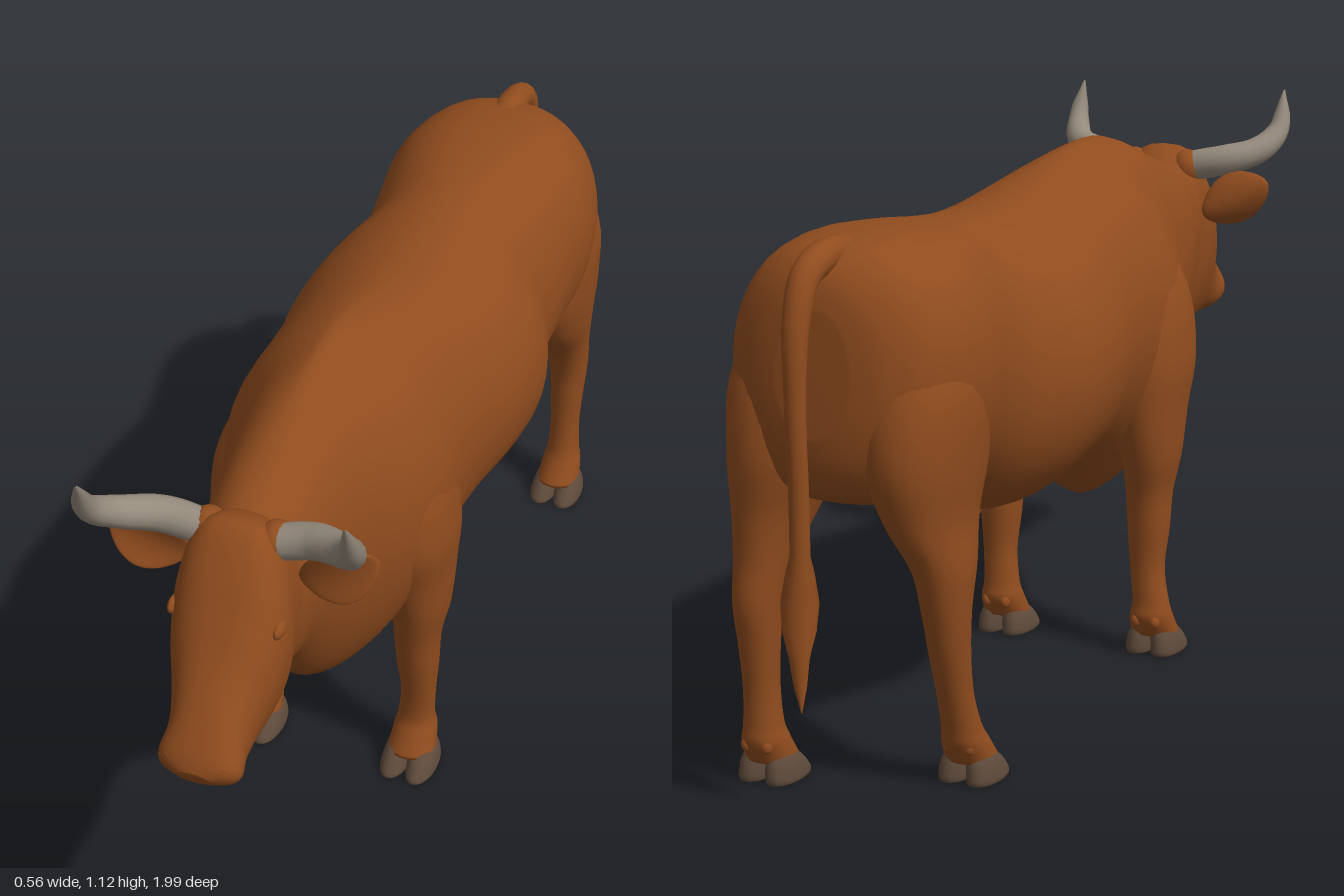
import * as THREE from 'three';

const mat = (name, color) => {
  const m = new THREE.MeshStandardMaterial({ color });
  m.name = name;
  return m;
};

// Smooth interpolation of table rows, sub steps between each pair
function refine(rows, sub) {
  const out = [];
  const at = i => rows[Math.max(0, Math.min(rows.length - 1, i))];
  for (let i = 0; i < rows.length - 1; i++) {
    for (let s = 0; s < sub; s++) {
      const t = s / sub;
      out.push(at(i).map((b, k) => {
        const a = at(i - 1)[k], c = at(i + 1)[k], d = at(i + 2)[k];
        return b + 0.5 * t * (c - a + t * (2 * a - 5 * b + 4 * c - d + t * (3 * (b - c) + d - a)));
      }));
    }
  }
  out.push(rows[rows.length - 1]);
  return out;
}

// Closed skin through rings; ringPoint(row, sin, cos) gives one point
function loft(rows, ringPoint, n = 36, sub = 5) {
  const fine = refine(rows, sub), pos = [], idx = [];
  for (const row of fine) {
    for (let j = 0; j < n; j++) {
      const t = (j / n) * Math.PI * 2;
      pos.push(...ringPoint(row, Math.sin(t), Math.cos(t)));
    }
  }
  const last = fine.length - 1;
  for (const i of [0, last]) {
    const c = [0, 0, 0];
    for (let j = 0; j < n; j++) for (let k = 0; k < 3; k++) c[k] += pos[(i * n + j) * 3 + k] / n;
    pos.push(...c);
  }
  const c0 = fine.length * n;
  for (let j = 0; j < n; j++) {
    const k = (j + 1) % n;
    for (let i = 0; i < last; i++) {
      const a = i * n + j, b = i * n + k;
      idx.push(a, a + n, b, b, a + n, b + n);
    }
    idx.push(c0, j, k, c0 + 1, last * n + k, last * n + j);
  }
  const g = new THREE.BufferGeometry();
  g.setAttribute('position', new THREE.Float32BufferAttribute(pos, 3));
  g.setIndex(idx);
  g.computeVertexNormals();
  return g;
}

const soft = (v, p) => Math.sign(v) * Math.abs(v) ** p;

// Row: topZ, topY, bottomZ, bottomY, centreX, halfWidth, narrowing to the belly, pointedness
const trunkRing = ([tz, ty, bz, by, cx, hw, bias, power], s, c) => [
  cx + hw * soft(s, power) * (1 + bias * c),
  (ty + by) / 2 + ((ty - by) / 2) * c,
  (tz + bz) / 2 + ((tz - bz) / 2) * c,
];

// Row: y, centreX, halfWidth, backZ, frontZ
const limbRing = ([y, x, hw, zb, zf], s, c) => [
  x + hw * soft(s, 0.95), y, (zb + zf) / 2 + ((zf - zb) / 2) * soft(c, 0.95),
];

// Tube whose radius follows a list
function taperTube(points, radii, seg = 40, sides = 14) {
  const curve = new THREE.CatmullRomCurve3(points.map(p => new THREE.Vector3(...p)));
  const g = new THREE.TubeGeometry(curve, seg, 1, sides);
  const p = g.attributes.position, v = new THREE.Vector3();
  for (let i = 0; i <= seg; i++) {
    const c = curve.getPointAt(i / seg);
    const f = (i / seg) * (radii.length - 1), k = Math.min(Math.floor(f), radii.length - 2);
    const r = THREE.MathUtils.lerp(radii[k], radii[k + 1], f - k);
    for (let j = 0; j <= sides; j++) {
      const n = i * (sides + 1) + j;
      v.fromBufferAttribute(p, n).sub(c).multiplyScalar(r).add(c);
      p.setXYZ(n, v.x, v.y, v.z);
    }
  }
  return g;
}

export function createModel() {
  const model = new THREE.Group();
  model.name = 'bull';
  const hide = mat('brown hide', 0x904c1e);
  const horn = mat('grey horn', 0x958a7c);
  const hoofMat = mat('dark hoof', 0x5e4a3b);

  const add = (name, geo, material, parent = model) => {
    const m = new THREE.Mesh(geo, material);
    m.name = name;
    parent.add(m);
    return m;
  };
  const blob = (name, [x, y, z], [sx, sy, sz], parent = model) => {
    const m = add(name, new THREE.SphereGeometry(1, 20, 14), hide, parent);
    m.position.set(x, y, z);
    m.scale.set(sx, sy, sz);
  };

  // Trunk and neck
  add('body', loft([
    [-0.90, 0.90, -0.912, 0.68, 0, 0.07, 0, 1],
    [-0.88, 0.96, -0.895, 0.60, 0, 0.14, 0, 0.9],
    [-0.82, 1.005, -0.84, 0.55, 0, 0.203, 0.03, 0.78],
    [-0.70, 1.02, -0.70, 0.52, 0, 0.235, 0.03, 0.74],
    [-0.58, 1.015, -0.58, 0.50, 0, 0.226, 0, 0.78],
    [-0.45, 1.003, -0.45, 0.445, -0.003, 0.222, -0.06, 0.92],
    [-0.32, 0.998, -0.32, 0.415, -0.006, 0.264, -0.05, 1.05],
    [-0.18, 1.005, -0.18, 0.425, -0.006, 0.264, -0.05, 1.08],
    [-0.05, 1.025, -0.05, 0.415, -0.004, 0.242, -0.02, 1.12],
    [0.08, 1.05, 0.08, 0.375, -0.004, 0.23, 0.03, 1.25],
    [0.20, 1.068, 0.20, 0.32, -0.004, 0.23, 0.06, 1.42],
    [0.30, 1.066, 0.31, 0.315, 0, 0.20, 0.06, 1.4],
    [0.40, 1.045, 0.41, 0.375, 0, 0.155, 0.1, 1.15],
    [0.50, 1.01, 0.49, 0.46, 0, 0.13, 0.12, 1],
    [0.60, 0.98, 0.56, 0.545, 0.004, 0.117, 0.1, 0.95],
    [0.68, 0.968, 0.63, 0.575, 0.014, 0.1, 0.1, 0.9],
    [0.72, 0.95, 0.70, 0.61, 0.02, 0.075, 0.1, 0.9],
  ], trunkRing, 48), hide);
  add('sheath', taperTube([[0, 0.45, -0.17], [0, 0.433, -0.28], [0, 0.40, -0.35], [0, 0.345, -0.385]],
    [0.02, 0.03, 0.034, 0.03, 0.004]), hide);

  // Head, turned slightly to one side
  const head = new THREE.Group();
  head.name = 'head';
  model.add(head);
  add('skull', loft([
    [0.62, 0.94, 0.57, 0.62, 0.012, 0.075, 0.1, 0.85],
    [0.68, 0.985, 0.62, 0.578, 0.016, 0.096, 0.15, 0.8],
    [0.735, 0.998, 0.67, 0.575, 0.02, 0.1, 0.18, 0.68],
    [0.79, 0.945, 0.73, 0.572, 0.027, 0.108, 0.2, 0.72],
    [0.845, 0.865, 0.79, 0.57, 0.032, 0.099, 0.2, 0.78],
    [0.89, 0.80, 0.85, 0.575, 0.036, 0.083, 0.12, 0.82],
    [0.94, 0.738, 0.90, 0.583, 0.04, 0.074, 0.02, 0.82],
    [0.975, 0.69, 0.935, 0.586, 0.04, 0.079, 0, 0.85],
    [0.99, 0.665, 0.962, 0.597, 0.04, 0.066, 0, 0.85],
    [0.998, 0.645, 0.985, 0.615, 0.04, 0.03, 0, 0.85],
  ], trunkRing, 40), hide, head);
  for (const s of [-1, 1]) {
    blob('eye', [0.028 + s * 0.1, 0.84, 0.795], [0.01, 0.016, 0.024], head);
    blob('nostril', [0.04 + s * 0.042, 0.655, 0.968], [0.024, 0.016, 0.018], head);
  }

  // Horns, rooted inside the skull
  const hornRadii = [0.032, 0.034, 0.033, 0.03, 0.026, 0.018, 0.002];
  add('leftHorn', taperTube([[0.07, 0.95, 0.705], [0.16, 0.973, 0.70], [0.23, 0.995, 0.735],
    [0.258, 1.04, 0.785], [0.262, 1.12, 0.825]], hornRadii), horn, head);
  add('rightHorn', taperTube([[-0.03, 0.952, 0.71], [-0.12, 0.97, 0.72], [-0.185, 0.99, 0.765],
    [-0.213, 1.03, 0.82], [-0.208, 1.115, 0.87]], hornRadii), horn, head);
  // Hide sleeves around the horn roots
  blob('leftHornRoot', [0.085, 0.952, 0.70], [0.035, 0.04, 0.04], head);
  blob('rightHornRoot', [-0.042, 0.952, 0.705], [0.035, 0.04, 0.04], head);

  // Ears: flattened leaf shapes cupped towards the front
  const earGeo = new THREE.SphereGeometry(1, 24, 16);
  const ep = earGeo.attributes.position;
  for (let i = 0; i < ep.count; i++) {
    const x = ep.getX(i), y = ep.getY(i), z = ep.getZ(i);
    ep.setXYZ(i, x * 0.08, y * 0.056 * (1 - 0.25 * x * x), z * 0.014 + 0.025 * y * y - 0.012);
  }
  earGeo.computeVertexNormals();
  const ear = (name, x, y, z, ry, rz) => {
    const m = add(name, earGeo, hide, head);
    m.position.set(x, y, z);
    m.rotation.set(0, ry, rz);
  };
  ear('leftEar', 0.19, 0.888, 0.675, 0.12, 0.45);
  ear('rightEar', -0.158, 0.89, 0.705, 0.3, -0.5);

  // Legs with cloven hooves and dewclaws
  const leg = (name, rows, [hx, zb, zf]) => {
    const g = new THREE.Group();
    g.name = name;
    model.add(g);
    add('limb', loft(rows, limbRing, 28), hide, g);
    for (const s of [-1, 1]) {
      const x = hx + s * 0.026;
      add('hoof', loft([
        [0.06, x - s * 0.004, 0.022, zb + 0.015, zf - 0.05],
        [0.04, x, 0.028, zb + 0.005, zf - 0.025],
        [0.015, x + s * 0.002, 0.031, zb, zf - 0.003],
        [0.005, x + s * 0.002, 0.03, zb + 0.003, zf],
      ], limbRing, 20, 3), hoofMat, g);
      blob('dewclaw', [hx + s * 0.02, 0.08, zb + 0.002], [0.012, 0.015, 0.013], g);
    }
  };
  for (const [name, s, foot, knee, top] of [
    ['leftFrontLeg', 1, 0.155, 0.16, 0.155], ['rightFrontLeg', -1, 0.19, 0.18, 0.175]]) {
    leg(name, [
      [0.92, s * (top - 0.055), 0.03, 0.12, 0.25],
      [0.78, s * (top - 0.01), 0.068, 0.06, 0.315],
      [0.64, s * top, 0.083, 0.05, 0.32],
      [0.53, s * (top + 0.003), 0.073, 0.065, 0.28],
      [0.43, s * (knee + 0.005), 0.058, 0.09, 0.25],
      [0.35, s * knee, 0.047, 0.115, 0.23],
      [0.27, s * knee, 0.043, 0.125, 0.215],
      [0.19, s * knee, 0.036, 0.13, 0.20],
      [0.12, s * foot, 0.038, 0.125, 0.195],
      [0.085, s * foot, 0.045, 0.12, 0.21],
      [0.045, s * foot, 0.05, 0.14, 0.235],
    ], [s * foot, 0.13, 0.262]);
  }
  // d slides the lower leg forward
  for (const [name, s, d, foot] of [['leftHindLeg', 1, 0, 0.158], ['rightHindLeg', -1, 1, 0.175]]) {
    leg(name, [
      [0.92, s * 0.11, 0.06, -0.82, -0.64],
      [0.76, s * 0.128, 0.1, -0.885, -0.60],
      [0.63, s * 0.135, 0.095, -0.903, -0.595 + d * 0.01],
      [0.52, s * 0.148, 0.07, -0.89 + d * 0.02, -0.66 + d * 0.035],
      [0.43, s * (foot - 0.004), 0.052, -0.885 + d * 0.06, -0.745 + d * 0.075],
      [0.35, s * foot, 0.043, -0.89 + d * 0.09, -0.785 + d * 0.09],
      [0.27, s * foot, 0.037, -0.878 + d * 0.10, -0.795 + d * 0.10],
      [0.19, s * foot, 0.033, -0.868 + d * 0.115, -0.797 + d * 0.115],
      [0.12, s * foot, 0.036, -0.867 + d * 0.135, -0.79 + d * 0.135],
      [0.085, s * foot, 0.043, -0.868 + d * 0.145, -0.775 + d * 0.145],
      [0.045, s * foot, 0.048, -0.85 + d * 0.15, -0.75 + d * 0.15],
    ], [s * foot, -0.855 + d * 0.15, -0.73 + d * 0.15]);
  }

  // Tail with a hanging tuft
  add('tail', taperTube([[0, 0.975, -0.74], [0, 0.99, -0.84], [0, 0.965, -0.92], [0, 0.89, -0.955],
    [0, 0.75, -0.963], [0, 0.58, -0.957], [0, 0.42, -0.957]], [0.035, 0.03, 0.025, 0.02, 0.018, 0.018, 0.018], 60), hide);
  add('tailTuft', taperTube([[0, 0.50, -0.956], [0, 0.41, -0.96], [0, 0.31, -0.966], [0, 0.20, -0.962]],
    [0.014, 0.026, 0.034, 0.03, 0.018, 0.012, 0.001]), hide);

  return model;
}
